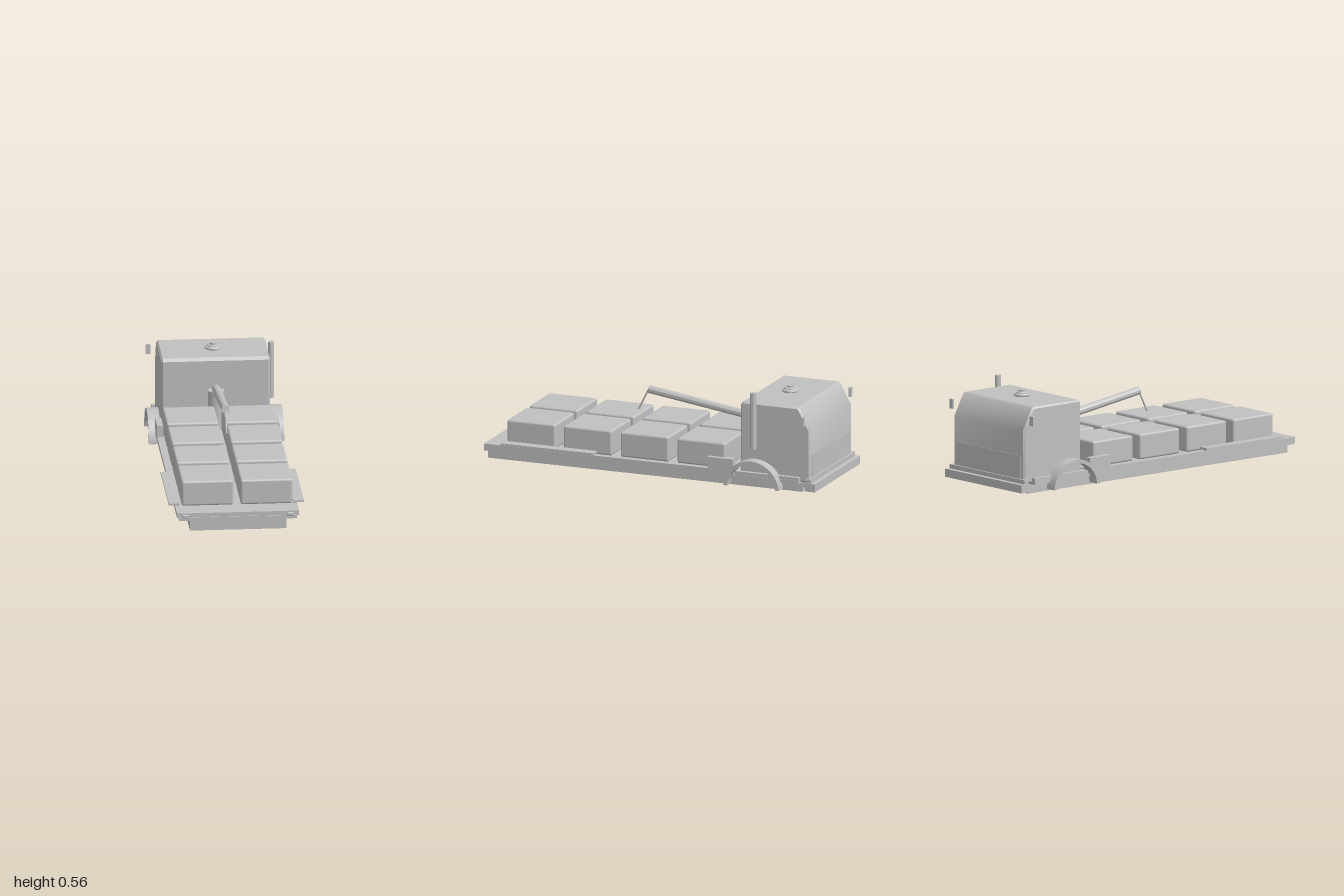
import * as THREE from 'three';
import { RoundedBoxGeometry } from 'three/addons/geometries/RoundedBoxGeometry.js';
import { toCreasedNormals } from 'three/addons/utils/BufferGeometryUtils.js';

export function createModel() {
  const model = new THREE.Group();
  const grey = new THREE.MeshStandardMaterial({ color: 0xc0c0c0 });
  grey.name = 'plain grey';

  const add = (name, geometry, x = 0, y = 0, z = 0) => {
    const mesh = new THREE.Mesh(geometry, grey);
    mesh.name = name;
    mesh.position.set(x, y, z);
    model.add(mesh);
    return mesh;
  };
  // Box given by its limits on each axis
  const box = (name, x0, x1, y0, y1, z0, z1, radius = 0) => {
    const size = [x1 - x0, y1 - y0, z1 - z0];
    const geometry = radius
      ? new RoundedBoxGeometry(...size, 3, radius)
      : new THREE.BoxGeometry(...size);
    return add(name, geometry, (x0 + x1) / 2, (y0 + y1) / 2, (z0 + z1) / 2);
  };
  // Extrude a (z, y) outline across x, centred on x = 0
  const extrudeAcross = (shape, width, bevel = 0) => {
    const geometry = new THREE.ExtrudeGeometry(shape, {
      depth: width - 2 * bevel, bevelEnabled: bevel > 0, bevelSize: bevel,
      bevelThickness: bevel, bevelOffset: -bevel, bevelSegments: 1, curveSegments: 24,
    });
    geometry.translate(0, 0, -(width - 2 * bevel) / 2);
    geometry.rotateY(-Math.PI / 2);
    return toCreasedNormals(geometry, 0.5);
  };
  // Straight rod between two points
  const rod = (name, from, to, radius, sides) => {
    const a = new THREE.Vector3(...from), b = new THREE.Vector3(...to);
    const direction = b.clone().sub(a);
    const geometry = new THREE.CylinderGeometry(radius, radius, direction.length(), sides);
    const mesh = add(name, toCreasedNormals(geometry, 0.6));
    mesh.position.copy(a).add(b).multiplyScalar(0.5);
    mesh.quaternion.setFromUnitVectors(new THREE.Vector3(0, 1, 0), direction.normalize());
    return mesh;
  };

  // Chassis and stepped flat bed
  box('chassis', -0.27, 0.27, 0, 0.058, -0.9, 1);
  box('bedRail', -0.33, 0.33, 0.057, 0.077, -0.9, 1);
  box('bedDeck', -0.342, 0.342, 0.075, 0.1, -0.51, 0.995);
  box('cabFloor', -0.328, 0.328, 0.075, 0.095, -0.9, -0.51);

  // Rear bumper and crossbar
  box('rearBumper', -0.33, 0.33, 0.022, 0.068, -1, -0.94);
  box('bumperMount', -0.26, 0.26, 0.025, 0.065, -0.945, -0.89);
  box('rearCrossbar', -0.325, 0.325, 0.068, 0.092, -0.972, -0.945);

  // Two columns of rounded cargo crates
  for (const x of [-0.16, 0.17]) {
    for (const z of [0.722, 0.38, 0.037, -0.305]) {
      add('cargoCrate', new RoundedBoxGeometry(0.29, 0.145, 0.292, 3, 0.013), x, 0.1725, z);
    }
  }

  // Cab with sloped rear and bevelled edges
  const cabShape = new THREE.Shape([
    [-0.54, 0.065], [-0.54, 0.478], [-0.555, 0.495], [-0.882, 0.495],
    [-0.897, 0.485], [-0.96, 0.368], [-0.96, 0.065],
  ].map(([z, y]) => new THREE.Vector2(z, y)));
  add('cab', extrudeAcross(cabShape, 0.61, 0.01));
  box('rearPanel', -0.275, 0.275, 0.09, 0.225, -0.963, -0.959);

  // Stepped roof hatch
  const hatchProfile = [
    [0, 0], [0.042, 0], [0.048, 0.004], [0.048, 0.011], [0.043, 0.016], [0.035, 0.018],
    [0.035, 0.022], [0.03, 0.026], [0.02, 0.026], [0.02, 0.036], [0, 0.036],
  ].map(([r, y]) => new THREE.Vector2(r, y));
  add('roofHatch', toCreasedNormals(new THREE.LatheGeometry(hatchProfile, 24), 0.5), 0, 0.495, -0.715);

  // Exhaust stack on the left of the cab
  rod('exhaustStack', [0.317, 0.23, -0.622], [0.317, 0.556, -0.622], 0.0175, 10);

  // Crane post, boom and hanging hook
  rod('cranePost', [0, 0.095, -0.5], [0, 0.32, -0.5], 0.047, 24);
  rod('craneBoom', [0, 0.325, -0.513], [0, 0.419, 0.137], 0.0235, 10);
  rod('craneHook', [0, 0.415, 0.142], [0, 0.298, 0.2], 0.005, 8);

  // Arched mudguard outline with feet cut level
  const centerZ = -0.633, centerY = 0.007;
  const fenderShape = new THREE.Shape();
  fenderShape.absarc(centerZ, centerY, 0.168, 0.09, Math.PI - 0.09, false);
  fenderShape.absarc(centerZ, centerY, 0.147, Math.PI - 0.1, 0.1, true);
  fenderShape.closePath();

  // Paired side fittings
  for (const s of [-1, 1]) {
    const pair = (name, inner, outer, ...rest) =>
      box(name, Math.min(s * inner, s * outer), Math.max(s * inner, s * outer), ...rest);
    add('mudguard', extrudeAcross(fenderShape, 0.066), s * 0.346);
    pair('sideBoard', 0.318, 0.378, 0.111, 0.122, 0.32, 0.88);
    pair('boardBracket', 0.32, 0.34, 0.098, 0.112, 0.34, 0.86);
    pair('toolbox', 0.308, 0.342, 0.1, 0.165, -0.51, -0.355);
    pair('mirror', 0.332, 0.36, 0.4, 0.454, -0.942, -0.93);
    pair('frontLamp', 0.274, 0.312, 0.07, 0.092, 0.988, 1.002, 0.006);
  }
  return model;
}
